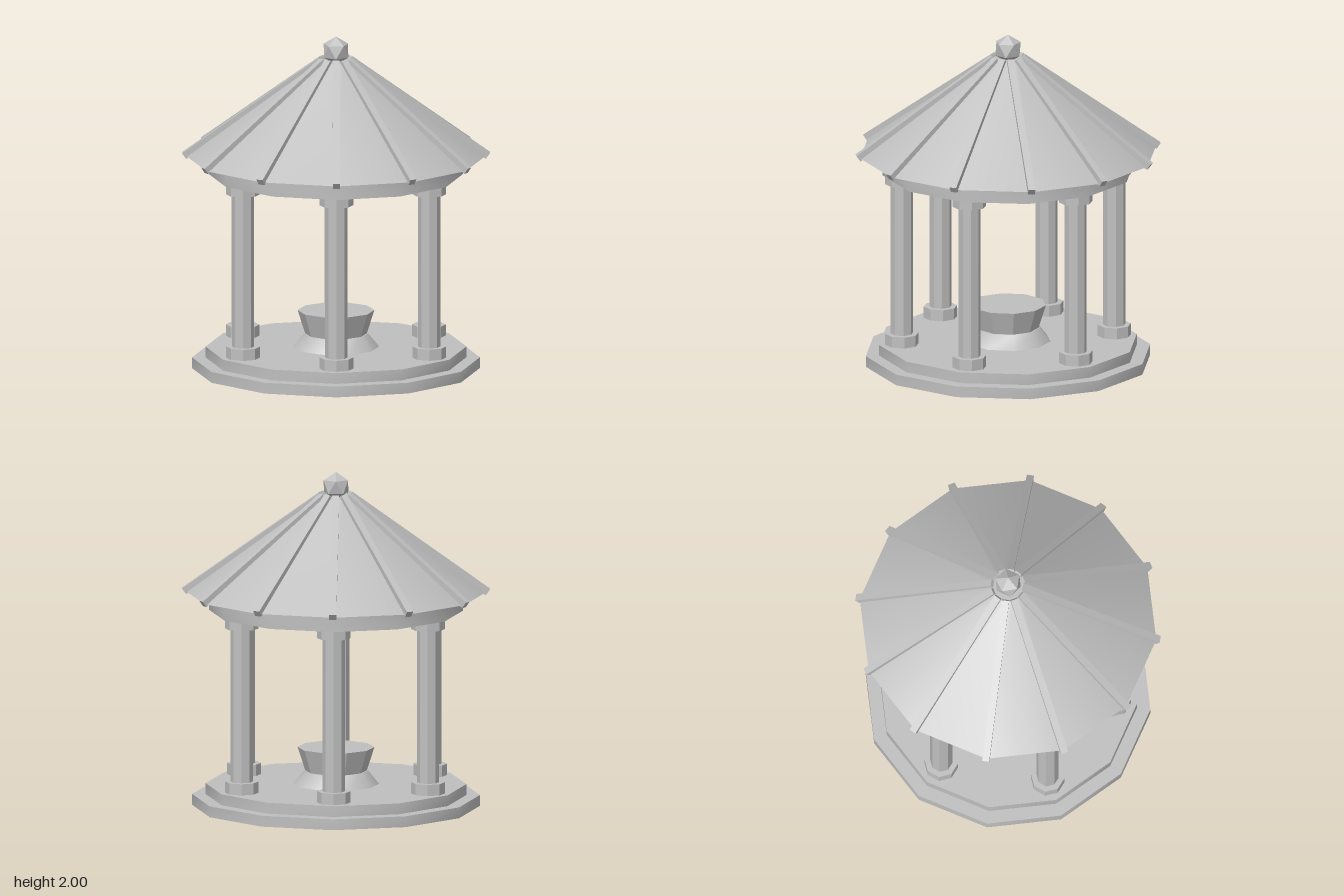
import * as THREE from 'three';
import { toCreasedNormals } from 'three/addons/utils/BufferGeometryUtils.js';

export function createModel() {
  const model = new THREE.Group();
  model.name = 'pavilion';
  const stone = new THREE.MeshStandardMaterial({ color: 0xbfbfbf });
  stone.name = 'grey stone';

  function add(parent, name, geometry) {
    const mesh = new THREE.Mesh(toCreasedNormals(geometry, 0.53), stone);
    mesh.name = name;
    parent.add(mesh);
    return mesh;
  }

  // Upright prism or frustum between two heights, with a corner on the x axis
  function drum(parent, name, rBottom, rTop, y0, y1, sides) {
    const g = new THREE.CylinderGeometry(rTop, rBottom, y1 - y0, sides, 1, false, Math.PI / 2);
    g.translate(0, (y0 + y1) / 2, 0);
    return add(parent, name, g);
  }

  // Stepped floor
  drum(model, 'lowerStep', 0.85, 0.85, 0, 0.065, 12);
  drum(model, 'upperStep', 0.77, 0.77, 0.065, 0.13, 12);

  // Central basin on its flared foot
  drum(model, 'basinFoot', 0.255, 0.19, 0.13, 0.21, 10);
  drum(model, 'basin', 0.182, 0.227, 0.21, 0.35, 10);

  // Six columns
  for (let i = 0; i < 6; i++) {
    const a = (i * Math.PI) / 3;
    const column = new THREE.Group();
    column.name = 'column';
    column.position.set(0.635 * Math.sin(a), 0, 0.635 * Math.cos(a));
    drum(column, 'columnBase', 0.1, 0.1, 0.13, 0.197, 8);
    drum(column, 'columnShaft', 0.066, 0.066, 0.197, 1.115, 8);
    drum(column, 'columnCapital', 0.1, 0.1, 1.115, 1.17, 8);
    model.add(column);
  }

  // Ring beam resting on the columns
  const ring = [[0.52, 1.28], [0.52, 1.17], [0.75, 1.17], [0.75, 1.28]];
  add(model, 'ringBeam', new THREE.LatheGeometry(ring.map(([r, y]) => new THREE.Vector2(r, y)), 12));

  // Roof
  drum(model, 'roof', 0.885, 0.1, 1.28, 1.855, 12);

  // Ribs along the roof corners
  const low = new THREE.Vector2(0.897, 1.283);
  const high = new THREE.Vector2(0.088, 1.858);
  for (let i = 0; i < 12; i++) {
    const g = new THREE.BoxGeometry(low.distanceTo(high), 0.042, 0.042);
    g.rotateZ(Math.atan2(low.y - high.y, low.x - high.x));
    g.translate((low.x + high.x) / 2, (low.y + high.y) / 2, 0);
    add(model, 'roofRib', g).rotation.y = (i * Math.PI) / 6;
  }

  // Faceted finial standing on one point
  const finial = new THREE.IcosahedronGeometry(0.085, 0);
  finial.rotateX(-Math.atan((1 + Math.sqrt(5)) / 2));
  finial.rotateY(Math.PI);
  finial.translate(0, 1.915, 0);
  add(model, 'finial', finial);

  return model;
}
